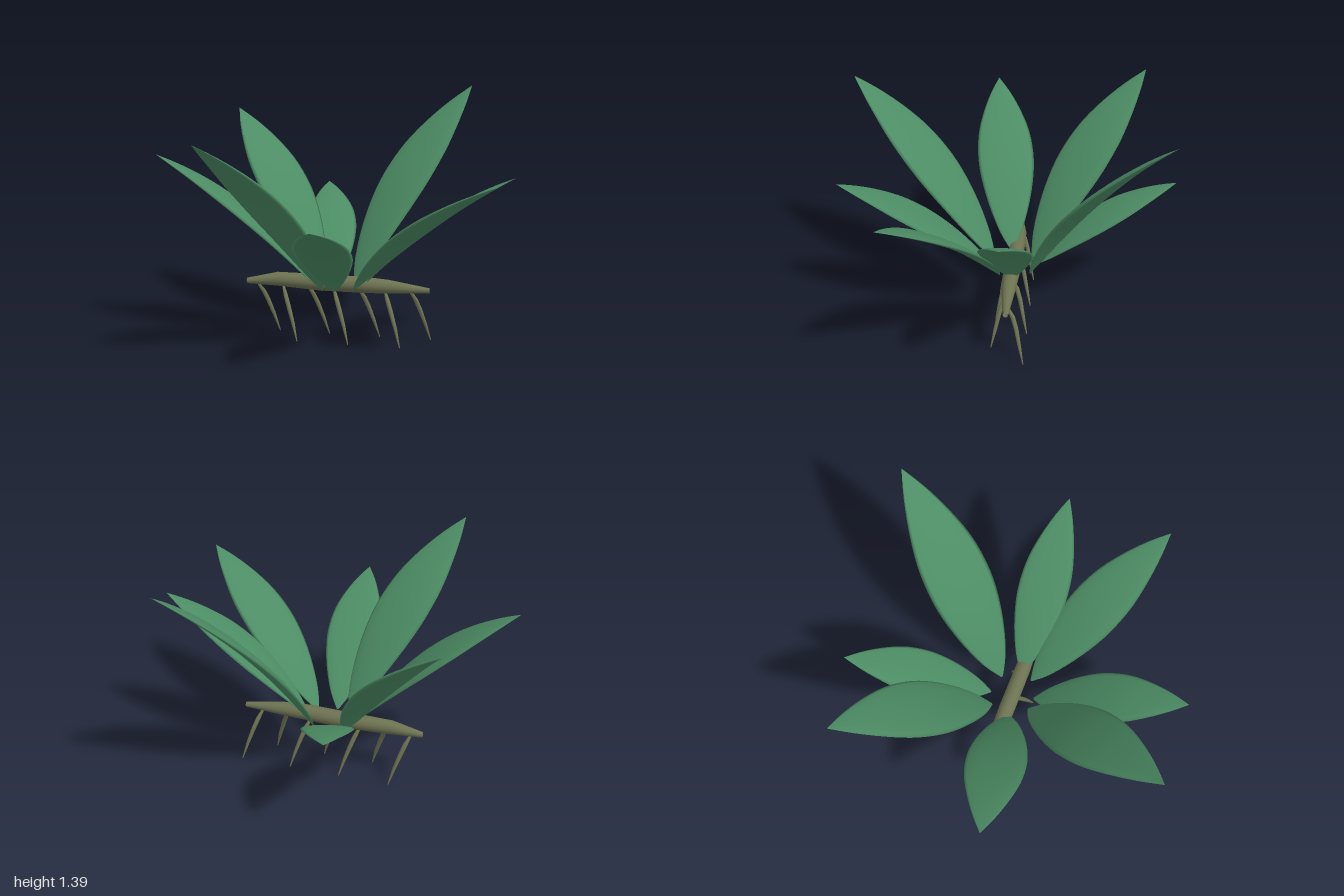
import * as THREE from 'three';

const UP = new THREE.Vector3(0, 1, 0);

// Skin of elliptical rings. Each section: { p: centre, w: half width, h: half thickness }
function loft(sections, sides) {
  const pos = [], index = [];
  sections.forEach(({ p, w, h }, i) => {
    const before = sections[Math.max(i - 1, 0)].p;
    const after = sections[Math.min(i + 1, sections.length - 1)].p;
    const tangent = after.clone().sub(before).normalize();
    const side = UP.clone().cross(tangent).normalize();
    const normal = tangent.clone().cross(side);
    for (let j = 0; j < sides; j++) {
      const a = (j / sides) * Math.PI * 2;
      const v = p.clone().addScaledVector(side, w * Math.cos(a)).addScaledVector(normal, h * Math.sin(a));
      pos.push(v.x, v.y, v.z);
      if (i < sections.length - 1) {
        const k = i * sides + j, n = i * sides + (j + 1) % sides;
        index.push(k, n, k + sides, n, n + sides, k + sides);
      }
    }
  });
  const geo = new THREE.BufferGeometry();
  geo.setAttribute('position', new THREE.Float32BufferAttribute(pos, 3));
  geo.setIndex(index);
  geo.computeVertexNormals();
  return geo;
}

// Leaf outline: position along the leaf, share of the full width
const outline = new THREE.SplineCurve([
  [0, 0.03], [0.1, 0.4], [0.25, 0.74], [0.4, 0.95], [0.52, 1],
  [0.65, 0.92], [0.78, 0.68], [0.9, 0.36], [1, 0.005],
].map(([t, w]) => new THREE.Vector2(t, w))).getPoints(24);

// Leaf from base to tip, arching upward between them
function leafGeometry(base, tip, halfWidth) {
  const chord = tip.clone().sub(base);
  const length = chord.length();
  const dir = chord.clone().normalize();
  const lift = UP.clone().addScaledVector(dir, -dir.y).normalize();
  return loft(outline.map(({ x: t, y: w }) => ({
    p: base.clone().addScaledVector(chord, t).addScaledVector(lift, 0.055 * length * 4 * t * (1 - t)),
    w: halfWidth * w,
    h: halfWidth * w * 0.12,
  })), 14);
}

export function createModel() {
  const group = new THREE.Group();
  const leafGreen = new THREE.MeshStandardMaterial({ color: 0x4c8c64, side: THREE.DoubleSide });
  leafGreen.name = 'leaf green';
  const rootOlive = new THREE.MeshStandardMaterial({ color: 0x6e7352, side: THREE.DoubleSide });
  rootOlive.name = 'root olive';

  const add = (name, geo, mat) => {
    const mesh = new THREE.Mesh(geo, mat);
    mesh.name = name;
    group.add(mesh);
  };
  const round = (list) => list.map(([x, y, z, r]) => ({ p: new THREE.Vector3(x, y, z), w: r, h: r }));

  // Horizontal rootstock, tapered at both ends
  add('rhizome', loft(round([
    [-0.53, 0.315, -0.045, 0.016], [-0.35, 0.334, -0.05, 0.04], [-0.1, 0.328, -0.046, 0.047],
    [0.15, 0.33, -0.038, 0.046], [0.3, 0.327, -0.036, 0.039], [0.53, 0.315, -0.04, 0.015],
  ]), 14), rootOlive);

  // Thin roots, leaning alternately back and forward
  for (let i = 0; i < 7; i++) {
    const x = -0.46 + i * 0.148, s = i % 2 ? 1 : -1;
    add('root', loft(round([
      [x, 0.295, -0.04 + 0.005 * s, 0.008], [x + 0.02, 0.25, -0.04 + 0.033 * s, 0.013],
      [x + 0.042, 0.19, -0.04 + 0.053 * s, 0.013], [x + 0.072, 0.1, -0.04 + 0.073 * s, 0.01],
      [x + 0.1, 0, -0.04 + 0.095 * s, 0.003],
    ]), 8), rootOlive);
  }

  // Rosette of leaves: base, tip, half width
  [
    [[-0.1, 0.31, -0.14], [-0.78, 1.23, -0.76], 0.175],
    [[-0.03, 0.31, -0.17], [-0.25, 0.755, -0.95], 0.14],
    [[0.08, 0.31, -0.14], [0.65, 1.385, -0.89], 0.188],
    [[0.14, 0.31, -0.04], [0.99, 0.97, -0.045], 0.145],
    [[0.11, 0.31, 0.03], [0.94, 1.02, 0.56], 0.16],
    [[0.01, 0.31, 0.08], [0.08, 0.83, 0.94], 0.152],
    [[-0.06, 0.31, 0.07], [-0.51, 1.24, 0.93], 0.18],
    [[-0.14, 0.33, -0.02], [-1, 1.06, 0.13], 0.165],
  ].forEach(([base, tip, w]) => {
    add('leaf', leafGeometry(new THREE.Vector3(...base), new THREE.Vector3(...tip), w), leafGreen);
  });

  return group;
}
